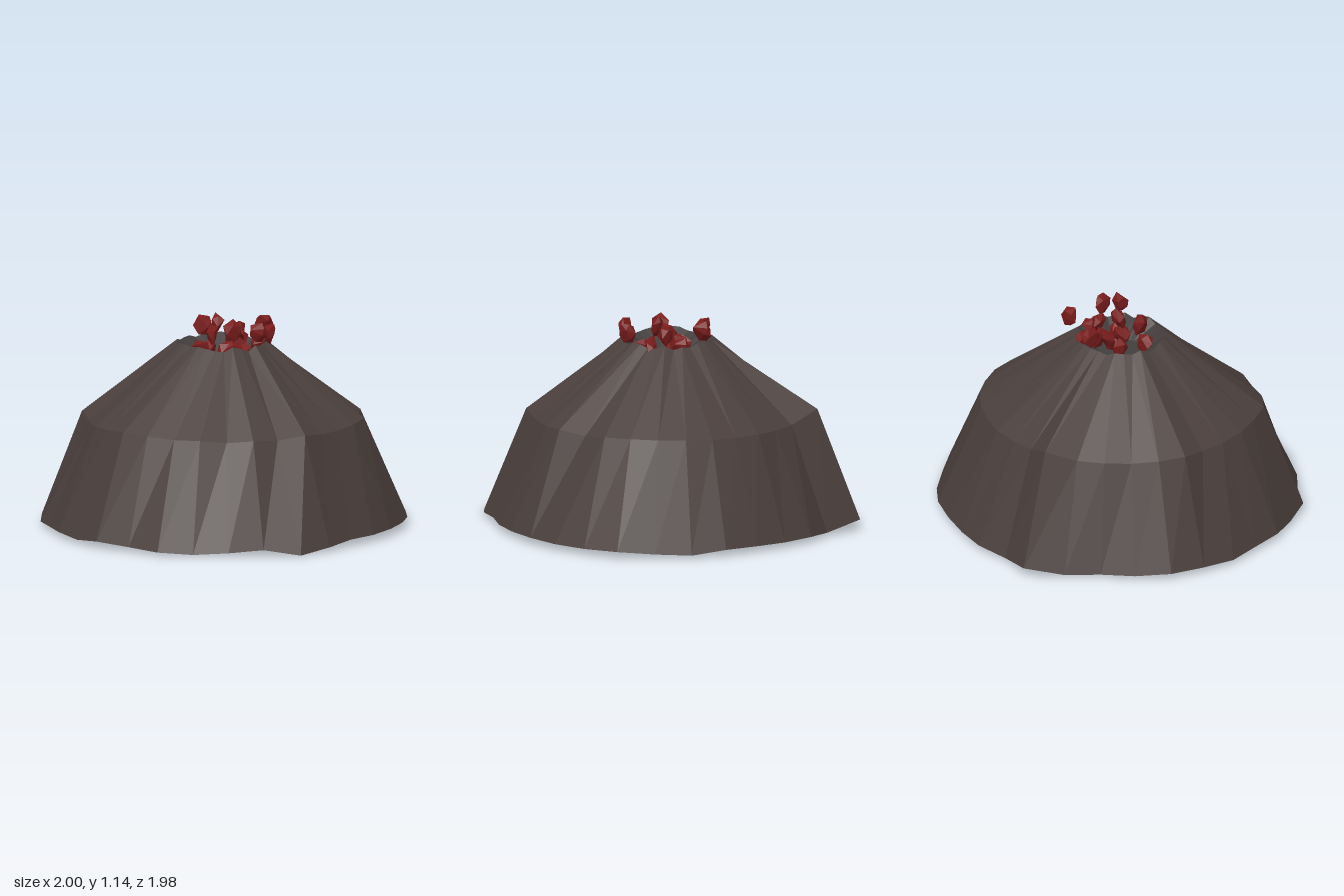
import * as THREE from 'three';
import { ConvexGeometry } from 'three/addons/geometries/ConvexGeometry.js';

const N = 32;
// outline radii, one per spoke, going from +x towards +z
const BASE = [1, 1.01, 1.05, 1.02, 1.005, 0.99, 0.975, 0.965, 0.955, 1, 1.03, 0.98, 0.99, 0.985, 1, 0.965,
  1, 0.97, 0.975, 0.96, 0.985, 0.99, 1, 0.96, 0.945, 0.99, 1.08, 0.965, 0.98, 0.965, 0.97, 0.99];
const SHOULDER = [0.765, 0.77, 0.775, 0.77, 0.735, 0.78, 0.76, 0.735, 0.735, 0.77, 0.725, 0.74, 0.72, 0.75, 0.745, 0.77,
  0.785, 0.76, 0.75, 0.73, 0.72, 0.77, 0.76, 0.735, 0.745, 0.765, 0.84, 0.75, 0.74, 0.75, 0.745, 0.755];

function seeded(seed) {
  return () => {
    seed = (seed * 16807) % 2147483647;
    return seed / 2147483647;
  };
}

function ring(radius, height) {
  return Array.from({ length: N }, (_, k) => {
    const a = (k / N) * Math.PI * 2;
    const r = radius(k);
    return new THREE.Vector3(r * Math.cos(a), height(k), r * Math.sin(a));
  });
}

// Joins rings with flat facets; a ring may be a single repeated point to close a cap
function skin(rings, material, name) {
  const pos = [];
  const tri = (...pts) => pts.forEach((p) => pos.push(p.x, p.y, p.z));
  for (let i = 0; i < rings.length - 1; i++) {
    for (let k = 0; k < N; k++) {
      const n = (k + 1) % N;
      const [a, b, c, d] = [rings[i][k], rings[i][n], rings[i + 1][k], rings[i + 1][n]];
      if (!a.equals(b)) tri(a, c, b);
      if (!c.equals(d)) tri(b, c, d);
    }
  }
  const geo = new THREE.BufferGeometry();
  geo.setAttribute('position', new THREE.Float32BufferAttribute(pos, 3));
  geo.computeVertexNormals();
  const mesh = new THREE.Mesh(geo, material);
  mesh.name = name;
  return mesh;
}

export function createModel() {
  const model = new THREE.Group();
  model.name = 'volcano';
  const stone = new THREE.MeshStandardMaterial({ color: 0x4a3f3c, flatShading: true });
  const craterStone = new THREE.MeshStandardMaterial({ color: 0x433e3d, flatShading: true });
  const lava = new THREE.MeshStandardMaterial({ color: 0x7a1c1c, flatShading: true });

  const rand = seeded(41);
  const footY = BASE.map((_, k) => ({ 10: 0, 13: 0.01, 16: 0.04, 26: 0.06 }[k] ?? 0.015 + 0.025 * rand()));
  const rimY = BASE.map(() => 0.99 + 0.03 * rand());

  // Mountain: underside, steep skirt and upper slope
  const foot = ring((k) => BASE[k], (k) => footY[k]);
  const shoulder = ring((k) => SHOULDER[k], (k) => (k === 26 ? 0.66 : 0.59 + (SHOULDER[k] - 0.74) * 0.5));
  const rim = ring(() => 0.245, (k) => rimY[k]);
  model.add(skin([ring(() => 0, () => 0.02), foot, shoulder, rim], stone, 'mountain'));

  // Crater: sloping wall and floor
  const floor = ring(() => 0.12, () => 0.92);
  model.add(skin([rim, floor, ring(() => 0, () => 0.92)], craterStone, 'crater'));

  // Lava rocks: upper ones thrown out, lower ones lying in the crater
  const rocks = new THREE.Group();
  rocks.name = 'lavaRocks';
  const spots = [
    [0.05, 1.07, -0.18], [0.14, 1.07, -0.17], [0.28, 1.08, 0.045], [0.12, 1.07, 0.24], [0.03, 1.08, 0.24],
    [-0.11, 1.06, 0.03], [0.02, 1.07, 0.06], [0.12, 1.06, 0.02],
    [-0.14, 0.98, -0.04], [0.2, 0.99, -0.05], [0.18, 0.98, 0.11], [-0.01, 0.96, -0.08],
    [0, 0.96, 0.09], [0.11, 1, -0.04], [0.05, 0.95, -0.01], [0.03, 0.96, 0.14],
  ];
  spots.forEach(([x, y, z], i) => {
    const r = seeded(977 + i * 131);
    for (let j = 0; j < 5; j++) r();
    const points = [];
    // spiral of points around a jittered ball, flattened to a wedge
    for (let j = 0; j < 12; j++) {
      const h = 1 - (2 * j + 1) / 12;
      const a = j * 2.4 + r() * 0.7;
      const s = Math.sqrt(1 - h * h);
      const size = 0.05 + 0.018 * r();
      points.push(new THREE.Vector3(s * Math.cos(a), h, s * Math.sin(a) * (0.5 + 0.3 * h)).multiplyScalar(size));
    }
    const rock = new THREE.Mesh(new ConvexGeometry(points), lava);
    rock.name = 'lavaRock';
    rock.position.set(x, y, z);
    rock.rotation.set((r() - 0.5) * 0.8, r() * Math.PI * 2, (r() - 0.5) * 0.8);
    rocks.add(rock);
  });
  model.add(rocks);
  return model;
}
